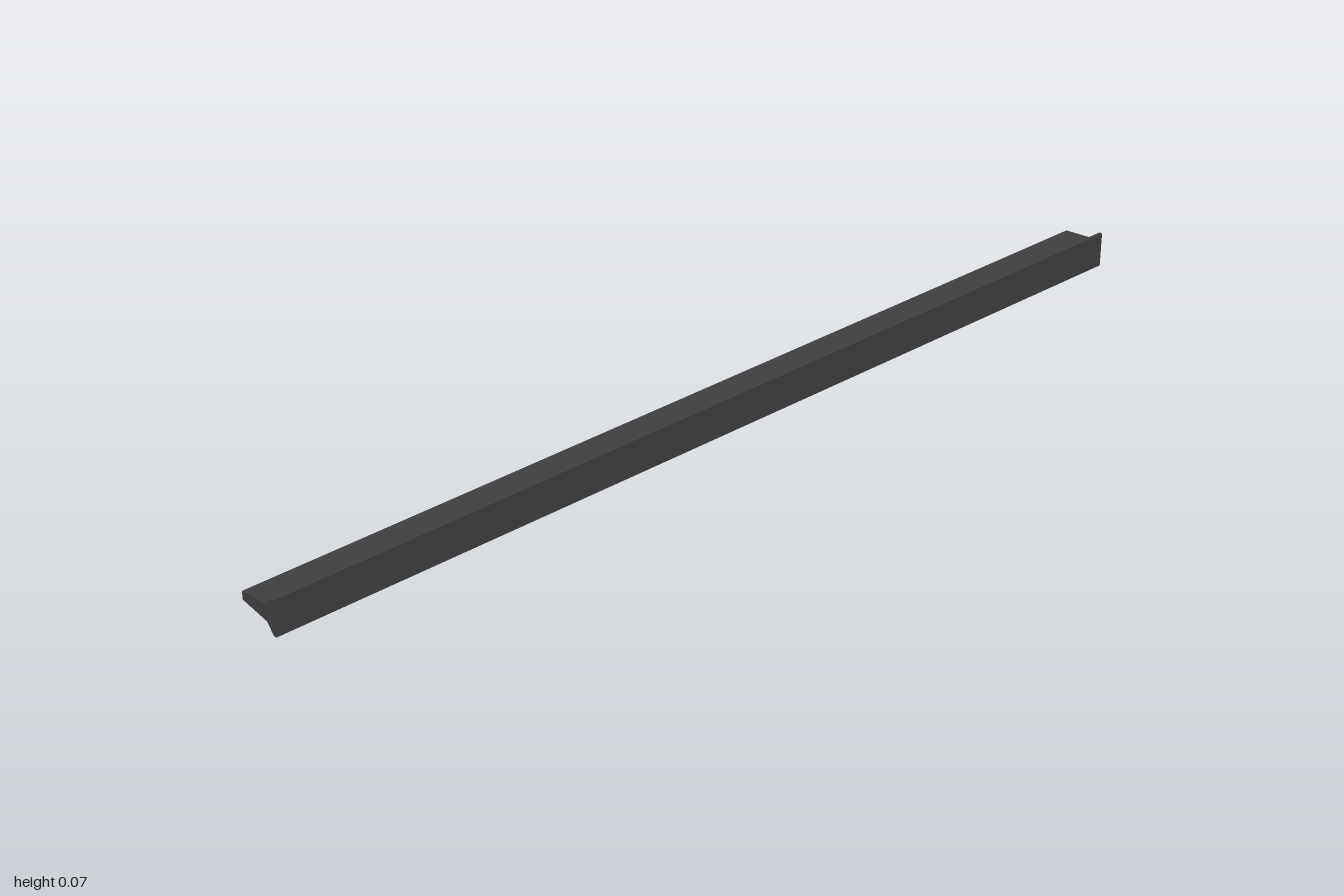
import * as THREE from 'three';

// Half of the T-shaped cross-section: [z, distance from the mid height]
const HALF_PROFILE = [
  [0.047, 0.036],   // front face edge
  [0.040, 0.036],   // flange back edge
  [0.022, 0.0165],  // foot of the slanted shoulder
  [-0.047, 0.0085], // rear edge of the tapered web
];
const MID_Y = 0.036;
const LENGTH = 2;

export function createModel() {
  const group = new THREE.Group();
  group.name = 'rail';

  // Mirror the half profile about the mid height
  const upper = HALF_PROFILE.map(([z, h]) => new THREE.Vector2(z, MID_Y + h));
  const lower = HALF_PROFILE.map(([z, h]) => new THREE.Vector2(z, MID_Y - h)).reverse();
  const shape = new THREE.Shape([...upper, ...lower]);

  // Run the profile along x
  const geometry = new THREE.ExtrudeGeometry(shape, { depth: LENGTH, bevelEnabled: false });
  geometry.translate(0, 0, -LENGTH / 2);
  geometry.rotateY(-Math.PI / 2);

  const bar = new THREE.Mesh(geometry, new THREE.MeshStandardMaterial({ color: 0x404040 }));
  bar.name = 'trimBar';
  group.add(bar);
  return group;
}
